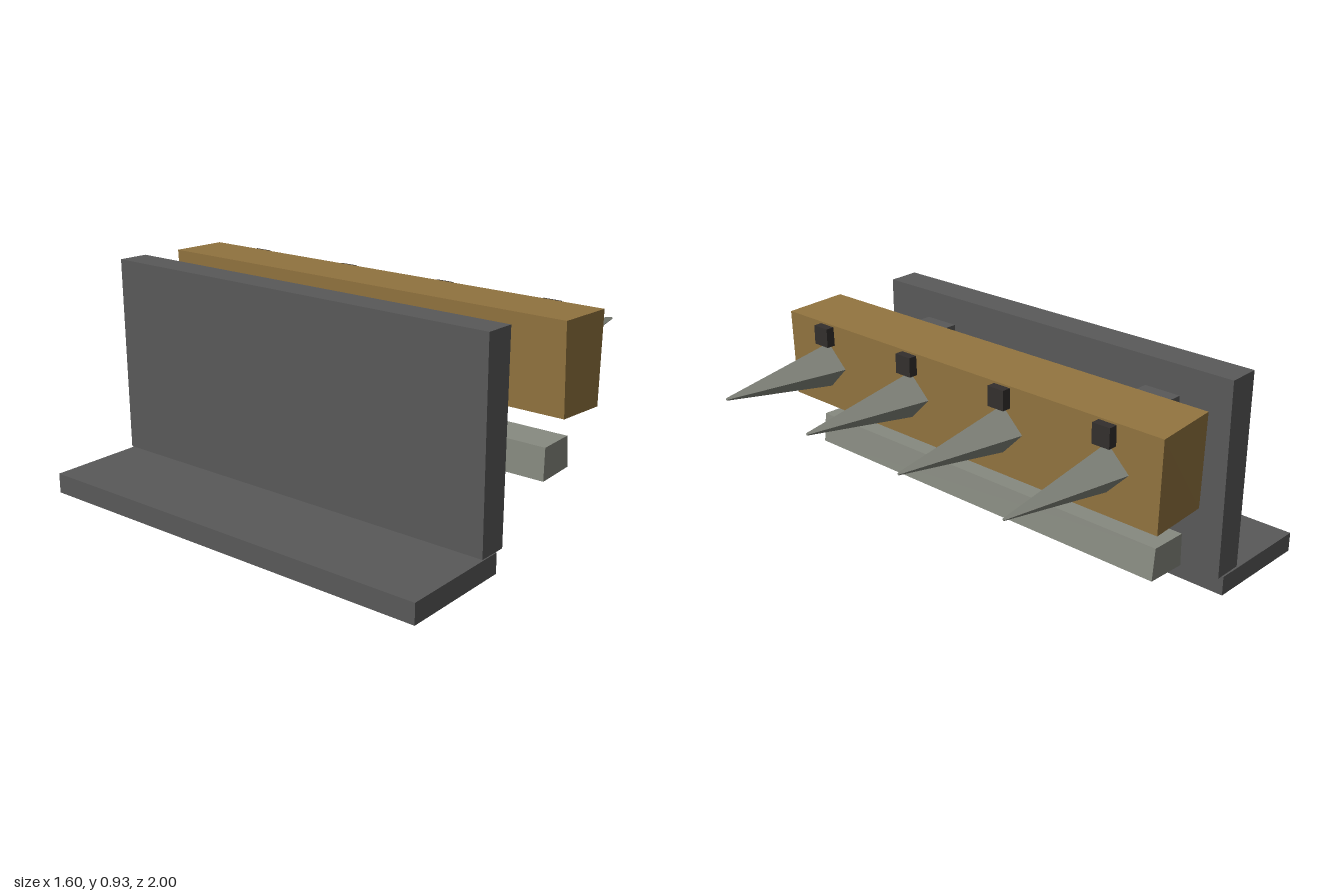
import * as THREE from 'three';

const mat = (color) => new THREE.MeshStandardMaterial({ color, flatShading: true });
const steel = mat(0x595959);
const paleSteel = mat(0x878a80);
const iron = mat(0x332f2d);
const wood = mat(0x92743f);

export function createModel() {
  const model = new THREE.Group();

  const add = (name, geometry, material, x = 0, y = 0, z = 0) => {
    const mesh = new THREE.Mesh(geometry, material);
    mesh.name = name;
    mesh.position.set(x, y, z);
    model.add(mesh);
    return mesh;
  };

  // Box given by its extents
  const block = (name, material, [x0, x1], [y0, y1], [z0, z1]) =>
    add(name, new THREE.BoxGeometry(x1 - x0, y1 - y0, z1 - z0), material,
      (x0 + x1) / 2, (y0 + y1) / 2, (z0 + z1) / 2);

  // Rough-hewn bar: a four-cornered section run along z
  const hewnBar = (corners, z0, z1) => {
    const shape = new THREE.Shape(corners.map(([x, y]) => new THREE.Vector2(x, y)));
    return new THREE.ExtrudeGeometry(shape, { depth: z1 - z0, bevelEnabled: false })
      .translate(0, 0, z0);
  };

  // Base plate and upright back plate
  block('basePlate', steel, [-0.8, -0.3], [0, 0.085], [-0.925, 0.918]);
  add('backPlate', hewnBar([[-0.397, 0.092], [-0.267, 0.09], [-0.265, 0.93], [-0.402, 0.933]],
    -0.922, 0.92), steel);

  // Wooden beam, with slightly skewed ends
  const beam = hewnBar([[0.004, 0.528], [0.256, 0.512], [0.266, 0.892], [-0.013, 0.903]], -0.985, 0.995);
  const p = beam.attributes.position;
  for (let i = 0; i < p.count; i++) {
    if (p.getZ(i) < 0 && p.getX(i) > 0.1) p.setZ(i, p.getY(i) > 0.7 ? -1 : -0.985);
  }
  beam.computeVertexNormals();
  add('beam', beam, wood);

  // Lower rail in front of the braces
  add('lowerRail', hewnBar([[0.003, 0.265], [0.182, 0.271], [0.168, 0.402], [0.006, 0.4]],
    -0.92, 0.922), paleSteel);

  // Arms and diagonal braces between the back plate and the beam
  for (const side of [-1, 1]) {
    const z = side * 0.605;
    block('supportArm', steel, [-0.3, 0.03], [0.61, 0.805], [z - 0.082, z + 0.082]);
    const brace = add('brace', new THREE.BoxGeometry(0.54, 0.12, 0.12), steel,
      -0.063, 0.402, side * 0.603);
    brace.rotation.z = 0.82;
  }

  // Four-sided spikes, each with a small clip above
  for (let i = 0; i < 4; i++) {
    const z = -0.755 + i * 0.503;
    const spike = new THREE.CylinderGeometry(0.006, 0.1, 0.545, 4).rotateZ(-Math.PI / 2);
    add('spike', spike, paleSteel, 0.5275, 0.707, z);
    block('spikeClip', iron, [0.24, 0.303], [0.802, 0.884], [z - 0.04, z + 0.04]);
  }

  return model;
}
